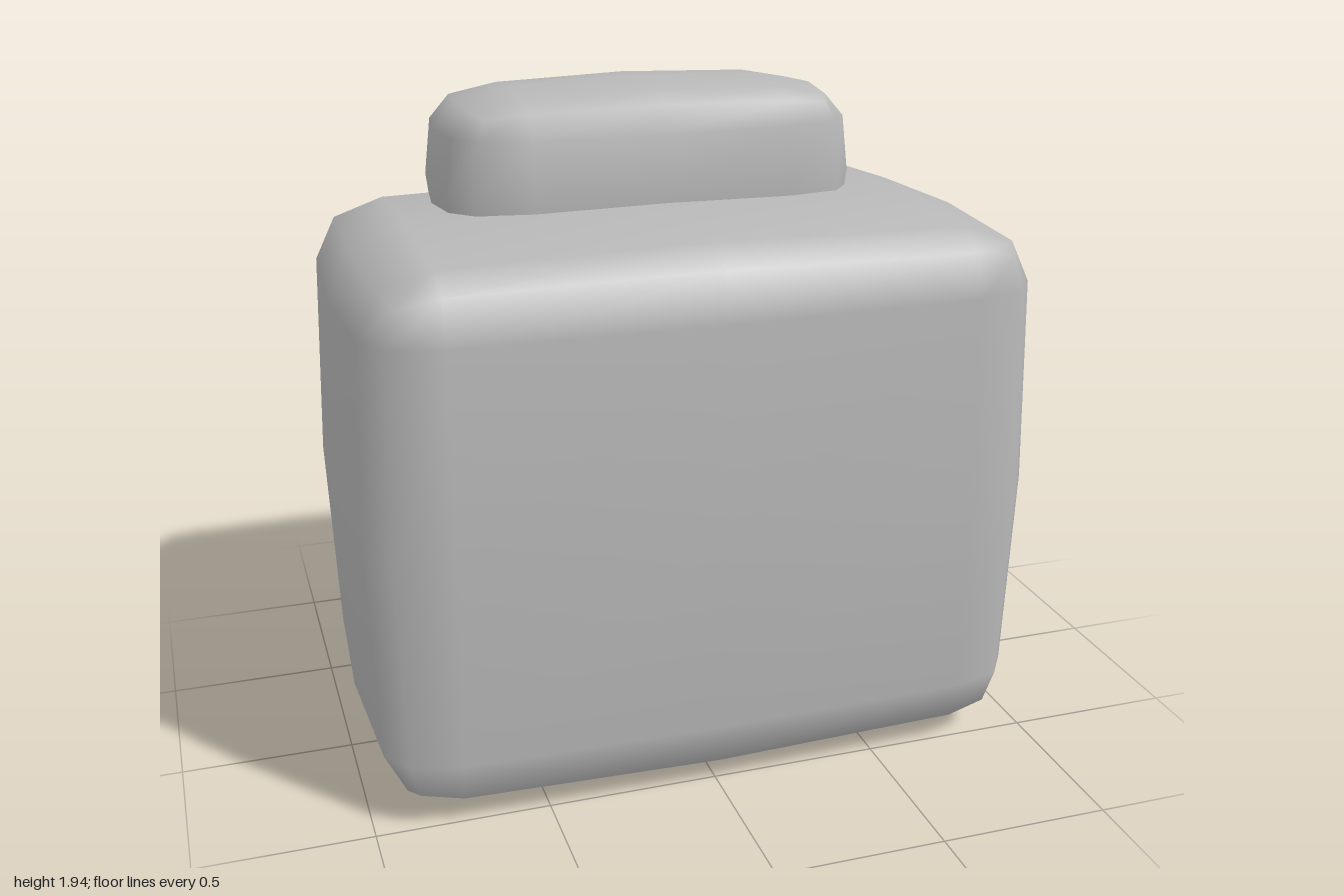
import * as THREE from 'three';
import { mergeVertices } from 'three/addons/utils/BufferGeometryUtils.js';

// Rounded, slightly pillowed block: a 4x4x4 box grid whose stations become
// edge (2), start of the rounding (1) and centre line (0) on each axis.
function pillowBlock(core, radius, bulge) {
  const geo = new THREE.BoxGeometry(4, 4, 4, 4, 4, 4);
  const pos = geo.attributes.position;
  for (let i = 0; i < pos.count; i++) {
    const s = [pos.getX(i), pos.getY(i), pos.getZ(i)].map(Math.round);
    const dir = s.map((v) => (Math.abs(v) === 2 ? Math.sign(v) : 0));
    const len = Math.hypot(...dir);
    const centred = s.filter((v) => v === 0).length;
    const p = s.map((v, a) => Math.sign(v) * core[a] + (dir[a] / len) * (radius[a] + bulge[a] * centred));
    pos.setXYZ(i, ...p);
  }
  // weld the faces so the normals run smoothly round the edges
  geo.deleteAttribute('normal');
  geo.deleteAttribute('uv');
  const welded = mergeVertices(geo, 1e-4);
  welded.clearGroups();
  welded.computeVertexNormals();
  return welded;
}

export function createModel() {
  const model = new THREE.Group();
  const grey = new THREE.MeshStandardMaterial({ color: 0xb8b8b8 });
  grey.name = 'grey';

  const add = (name, y, z, core, radius, bulge) => {
    const mesh = new THREE.Mesh(pillowBlock(core, radius, bulge), grey);
    mesh.name = name;
    mesh.position.set(0, y, z);
    model.add(mesh);
  };

  // large main block
  add('body', 0.813, 0, [0.75, 0.605, 0.43], [0.206, 0.174, 0.125], [0.022, 0.017, 0.015]);
  // small block sunk into the top, towards the back
  add('topBlock', 1.655, -0.267, [0.39, 0.165, 0.165], [0.205, 0.096, 0.116], [0.02, 0.013, 0.013]);

  return model;
}
